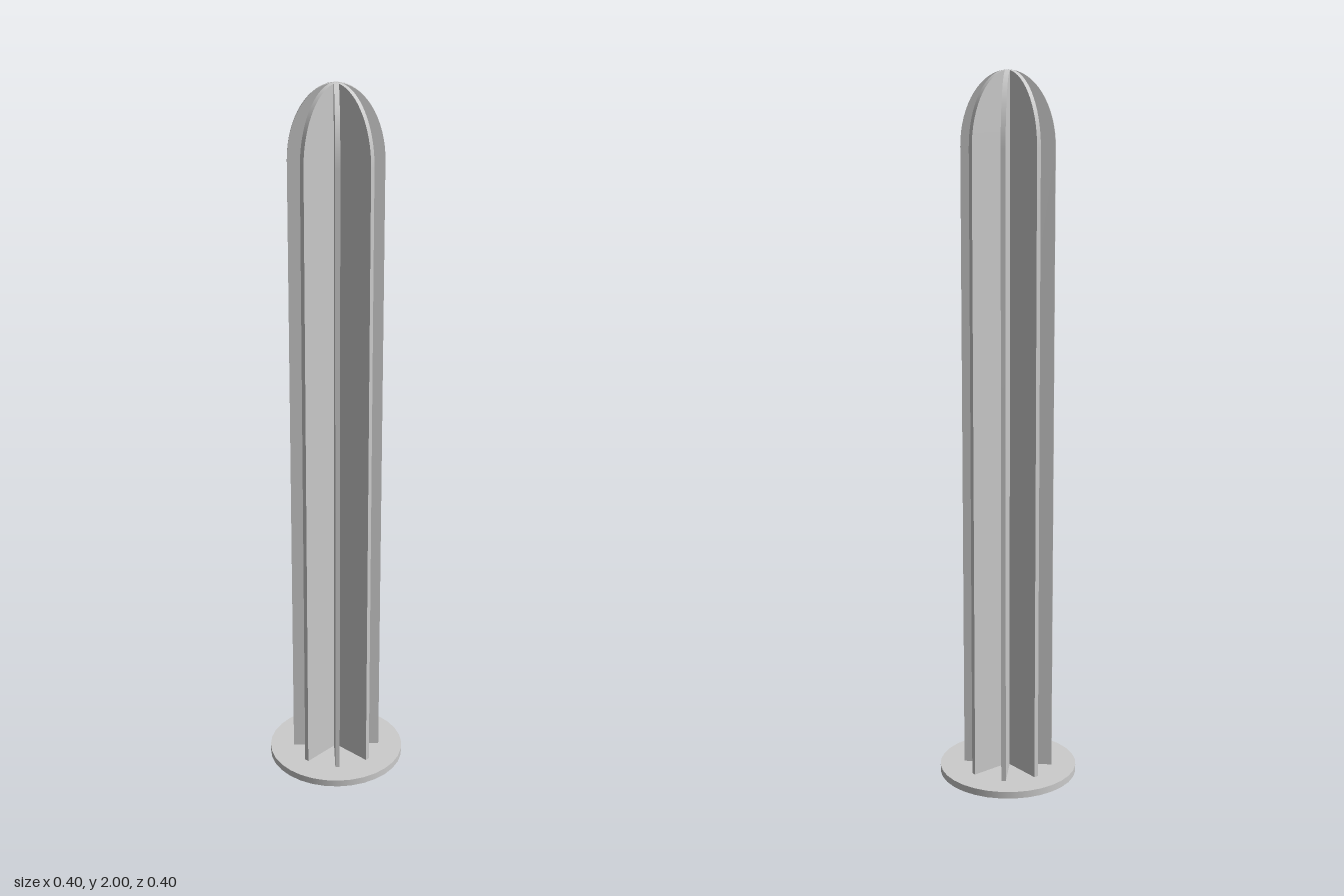
import * as THREE from 'three';
import { toCreasedNormals } from 'three/addons/utils/BufferGeometryUtils.js';

const BASE_RADIUS = 0.198, BASE_HEIGHT = 0.02;
const FIN_HALF_WIDTH = 0.128, FIN_THICKNESS = 0.013;
const SHOULDER = 1.8, TOP = 2;

export function createModel() {
  const group = new THREE.Group();
  const material = new THREE.MeshStandardMaterial({ color: 0xcccccc });

  // Round foot plate
  const base = new THREE.Mesh(
    new THREE.CylinderGeometry(BASE_RADIUS, BASE_RADIUS, BASE_HEIGHT, 32), material);
  base.name = 'basePlate';
  base.position.y = BASE_HEIGHT / 2;
  group.add(base);

  // Upright fin outline with an elliptical top
  const outline = new THREE.Shape();
  outline.moveTo(-FIN_HALF_WIDTH, BASE_HEIGHT);
  outline.lineTo(FIN_HALF_WIDTH, BASE_HEIGHT);
  outline.lineTo(FIN_HALF_WIDTH, SHOULDER);
  outline.absellipse(0, SHOULDER, FIN_HALF_WIDTH, TOP - SHOULDER, 0, Math.PI, false, 0);
  outline.closePath();

  const extruded = new THREE.ExtrudeGeometry(outline, {
    depth: FIN_THICKNESS, bevelEnabled: false, curveSegments: 16,
  });
  extruded.translate(0, 0, -FIN_THICKNESS / 2);
  const finGeometry = toCreasedNormals(extruded, Math.PI / 6);

  // Four full-width fins crossing on the axis, giving eight ribs
  for (let i = 0; i < 4; i++) {
    const fin = new THREE.Mesh(finGeometry, material);
    fin.name = `fin${i + 1}`;
    fin.rotation.y = (i * Math.PI) / 4;
    group.add(fin);
  }
  return group;
}
